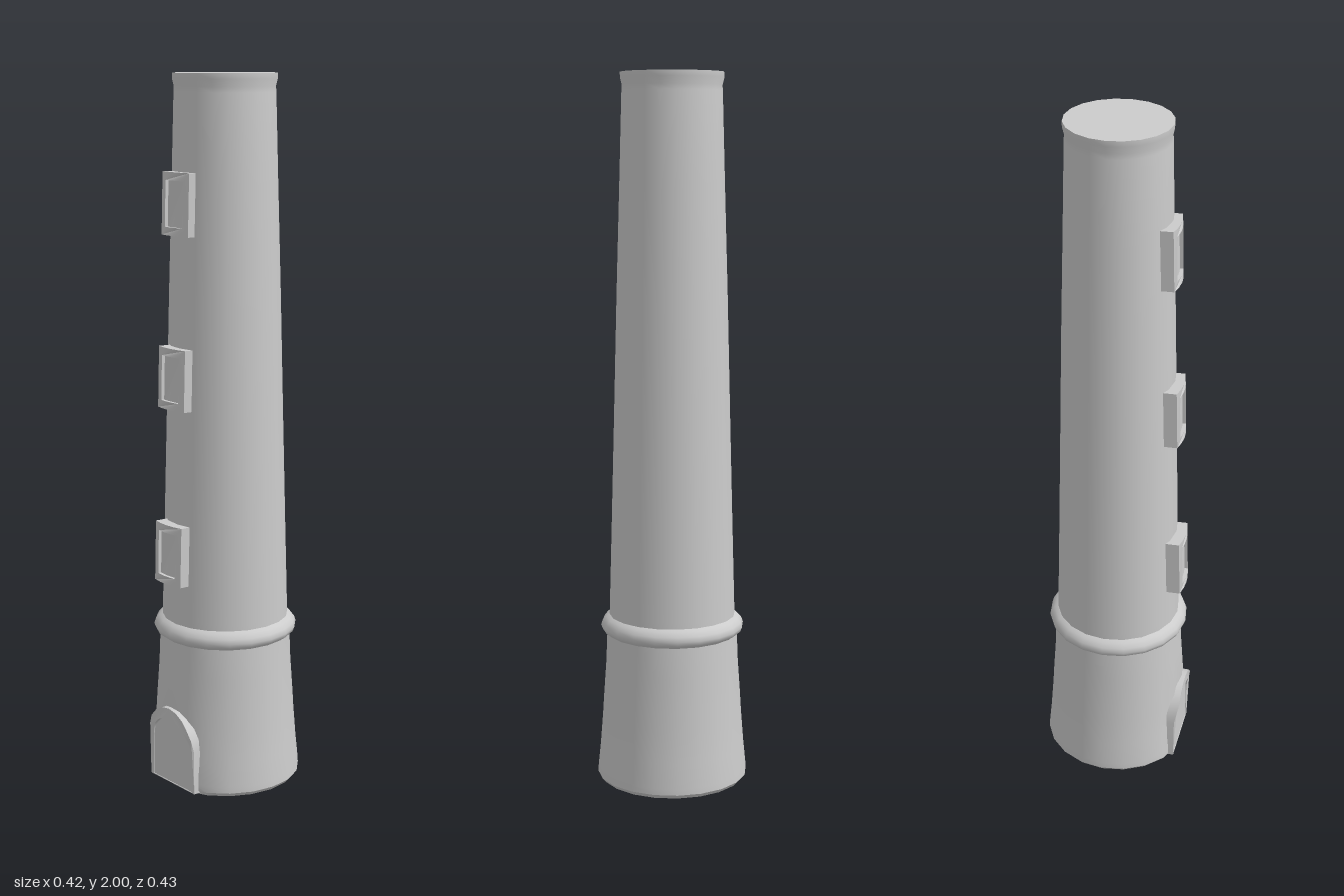
import * as THREE from 'three';
import { toCreasedNormals } from 'three/addons/utils/BufferGeometryUtils.js';

const material = new THREE.MeshStandardMaterial({ color: 0xcccccc });

function addMesh(parent, name, geometry, crease = 0.7) {
  const mesh = new THREE.Mesh(toCreasedNormals(geometry, crease), material);
  mesh.name = name;
  parent.add(mesh);
  return mesh;
}

const lathe = (profile) =>
  new THREE.LatheGeometry(profile.map(([r, y]) => new THREE.Vector2(r, y)), 20);

function moveVertices(geometry, rule) {
  const p = geometry.attributes.position;
  const v = new THREE.Vector3();
  for (let i = 0; i < p.count; i++) {
    rule(v.fromBufferAttribute(p, i));
    p.setXYZ(i, v.x, v.y, v.z);
  }
  return geometry;
}

// Rectangle outline with divided top and bottom edges, so it can be bent
function rectanglePoints(w, h, n = 4) {
  const points = [];
  for (let i = 0; i <= n; i++) points.push(new THREE.Vector2(-w / 2 + (w * i) / n, -h / 2));
  for (let i = 0; i <= n; i++) points.push(new THREE.Vector2(w / 2 - (w * i) / n, h / 2));
  return points;
}

// Round-headed outline standing on y = base
function archPoints(halfWidth, base, spring, rise) {
  const points = [new THREE.Vector2(-halfWidth, base), new THREE.Vector2(halfWidth, base)];
  for (let i = 0; i <= 10; i++) {
    const a = (Math.PI * i) / 10;
    points.push(new THREE.Vector2(halfWidth * Math.cos(a), spring + rise * Math.sin(a)));
  }
  return points;
}

// Extrudes an outline so that it faces -x
function extrudeToSide(outline, depth, hole) {
  const shape = new THREE.Shape(outline);
  if (hole) shape.holes.push(new THREE.Path(hole));
  return new THREE.ExtrudeGeometry(shape, { depth, bevelEnabled: false }).rotateY(-Math.PI / 2);
}

// Bends a window part around the wall
const bend = (geometry) => moveVertices(geometry, (v) => { v.x += (v.z * v.z) / 0.4; });

function createWindow(y, outerX) {
  const group = new THREE.Group();
  group.name = 'window';
  const depth = 0.045;
  addMesh(group, 'windowFrame',
    bend(extrudeToSide(rectanglePoints(0.115, 0.17), depth, rectanglePoints(0.075, 0.125))), 0.5);
  addMesh(group, 'windowPane',
    bend(extrudeToSide(rectanglePoints(0.077, 0.127), depth - 0.01)), 0.5);
  group.position.set(outerX + depth, y, -0.013);
  group.rotation.z = -0.029; // follows the taper of the wall
  return group;
}

export function createModel() {
  const model = new THREE.Group();
  model.name = 'tower';

  // Flared base, flattened where the door stands
  const base = lathe([[0, 0], [0.205, 0], [0.215, 0.012], [0.214, 0.03], [0.207, 0.1],
    [0.2, 0.19], [0.197, 0.24], [0.19, 0.34], [0.186, 0.44]]);
  moveVertices(base, (v) => { if (v.y < 0.2) v.x = Math.max(v.x, -0.19); });
  addMesh(model, 'base', base);

  // Rounded band between base and shaft
  addMesh(model, 'band', lathe([[0.18, 0.42], [0.188, 0.43], [0.199, 0.437], [0.204, 0.45],
    [0.2, 0.463], [0.19, 0.475], [0.178, 0.482]]), 0.9);

  // Tapering shaft with a slight lip and a flat top
  addMesh(model, 'shaft', lathe([[0.181, 0.43], [0.179, 0.5], [0.172, 0.75], [0.164, 1.05],
    [0.155, 1.4], [0.146, 1.7], [0.139, 1.95], [0.138, 1.965], [0.143, 1.985], [0.143, 2], [0, 2]]));

  // Three windows one above the other
  for (const [y, x] of [[0.685, -0.204], [1.18, -0.188], [1.655, -0.171]]) {
    model.add(createWindow(y, x));
  }

  // Door with a round-headed surround that leans out at the top
  const door = new THREE.Group();
  door.name = 'door';
  addMesh(door, 'doorPanel', extrudeToSide(archPoints(0.088, 0.004, 0.12, 0.085), 0.055), 0.5)
    .position.x = -0.139;
  const surround = extrudeToSide(archPoints(0.1, 0.004, 0.13, 0.105), 0.055,
    archPoints(0.087, 0.006, 0.12, 0.083));
  moveVertices(surround, (v) => {
    if (v.x < -0.03) v.x -= 0.012 * THREE.MathUtils.smoothstep(v.y, 0.12, 0.2);
  });
  addMesh(door, 'doorSurround', surround, 0.5).position.x = -0.141;
  model.add(door);

  model.position.x = -0.005;
  const root = new THREE.Group();
  root.name = 'model';
  root.add(model);
  return root;
}
